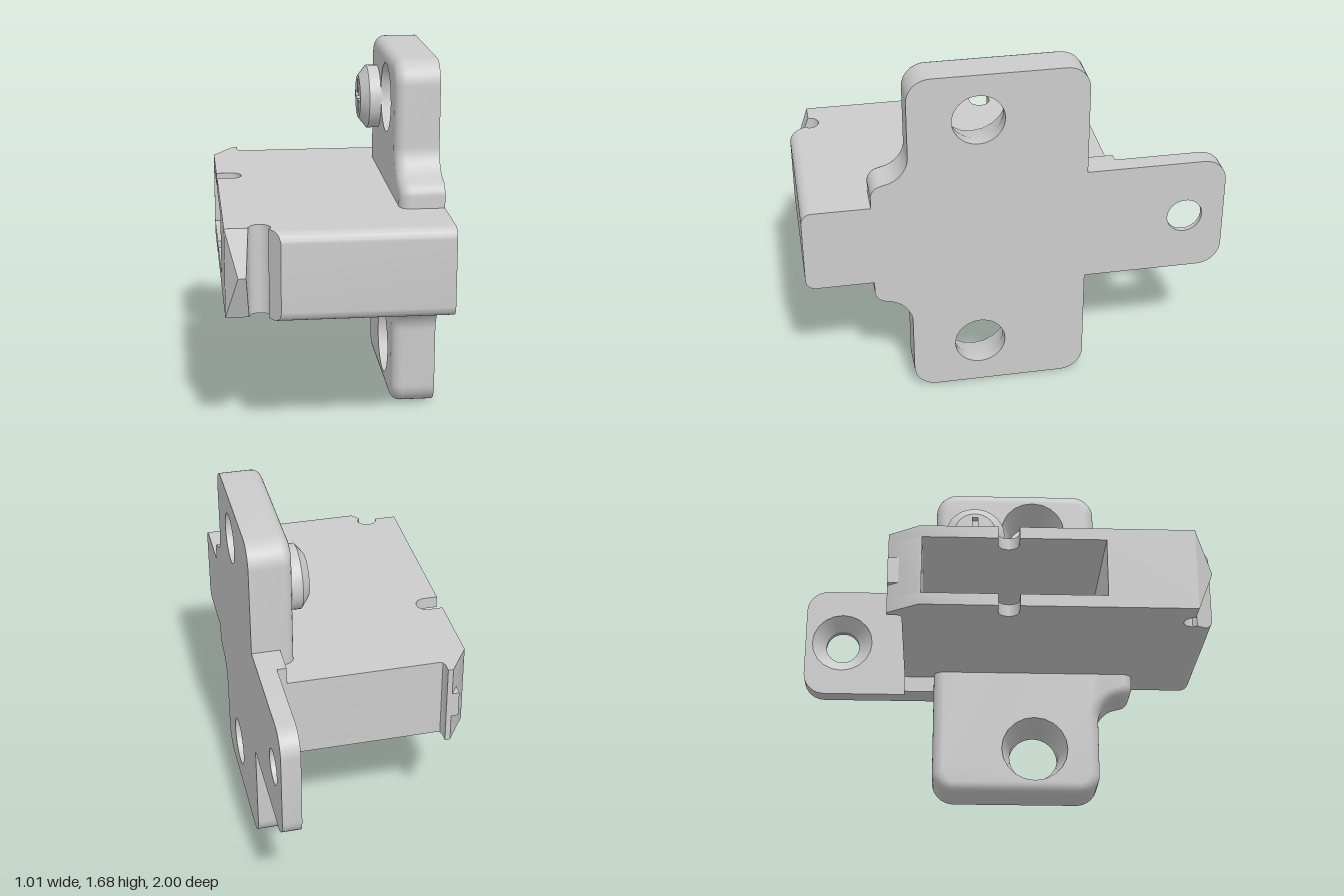
import * as THREE from 'three';
import { toCreasedNormals } from 'three/addons/utils/BufferGeometryUtils.js';
import { ConvexGeometry } from 'three/addons/geometries/ConvexGeometry.js';

const MID = 0.84;            // mid height of the housing
const OUT = 0.5;             // outer mounting face (x)
const mat = new THREE.MeshStandardMaterial({ color: 0xcccccc });
const matDouble = new THREE.MeshStandardMaterial({ color: 0xcccccc, side: THREE.DoubleSide });

// Closed shape from [a, b, cornerRadius] points
function roundedShape(pts) {
  const s = new THREE.Shape();
  const n = pts.length;
  pts.forEach(([x, y, r = 0], i) => {
    const c = new THREE.Vector2(x, y);
    const toward = (q) => new THREE.Vector2(q[0], q[1]).sub(c).normalize().multiplyScalar(r).add(c);
    const a = toward(pts[(i + n - 1) % n]);
    const b = toward(pts[(i + 1) % n]);
    if (i === 0) s.moveTo(a.x, a.y); else s.lineTo(a.x, a.y);
    if (r > 0) {
      const c1 = a.clone().lerp(c, 0.55), c2 = b.clone().lerp(c, 0.55);
      s.bezierCurveTo(c1.x, c1.y, c2.x, c2.y, b.x, b.y);
    }
  });
  s.closePath();
  return s;
}

function addHole(shape, a, b, r) {
  shape.holes.push(new THREE.Path().absarc(a, b, r, 0, Math.PI * 2, true));
  return shape;
}

// (z, y) shape extruded from x1 towards -x
function extrudeX(shape, x1, depth, opts = {}) {
  return new THREE.ExtrudeGeometry(shape, { depth, bevelEnabled: false, curveSegments: 10, ...opts })
    .rotateY(-Math.PI / 2).translate(x1, 0, 0);
}

// (x, z) outline extruded upwards from y0 to y1
function extrudeY(pts, y0, y1) {
  const shape = new THREE.Shape(pts.map(([x, z]) => new THREE.Vector2(x, -z)));
  return new THREE.ExtrudeGeometry(shape, { depth: y1 - y0, bevelEnabled: false })
    .rotateX(-Math.PI / 2).translate(0, y0, 0);
}

// [radius, x] profile turned about an x-parallel axis
function latheX(profile, y, z) {
  const pts = profile.map(([r, x]) => new THREE.Vector2(r, x));
  return new THREE.LatheGeometry(pts, 40).rotateZ(-Math.PI / 2).translate(0, y, z);
}

function arc(cx, cz, r, from, to, n = 10) {
  return Array.from({ length: n + 1 }, (_, i) => {
    const t = from + (to - from) * i / n;
    return [cx + r * Math.cos(t), cz + r * Math.sin(t)];
  });
}

export function createModel() {
  const group = new THREE.Group();
  const add = (name, geo, material = mat, crease = 0.6) => {
    const mesh = new THREE.Mesh(toCreasedNormals(geo, crease), material);
    mesh.name = name;
    group.add(mesh);
  };

  // Wing plate with a curved foot; one face has rounded edges
  const wing = () => roundedShape([
    [-0.33, 0, 0.11], [0.505, 0, 0.11], [0.505, 0.49, 0.1], [0.68, 0.535, 0.045],
    [0.68, 1.145, 0.045], [0.505, 1.19, 0.1], [0.505, 1.68, 0.11], [-0.33, 1.68, 0.11],
  ]);
  const holeYs = [0.23, 1.455], holeZ = 0.18, sinkR = 0.165, bevel = 0.05;
  const plate = wing(), rim = wing();
  for (const y of holeYs) {
    addHole(plate, holeZ, y, sinkR);
    addHole(rim, holeZ, y, sinkR - bevel);
  }
  add('wingPlate', extrudeX(plate, OUT, 0.155));
  const rimGeo = extrudeX(rim, 0.346, 0.001, {
    bevelEnabled: true, bevelSize: bevel, bevelOffset: -bevel, bevelThickness: bevel, bevelSegments: 6,
  });
  // keep the screw holes straight through the rounded layer
  const p = rimGeo.attributes.position;
  for (let i = 0; i < p.count; i++) {
    for (const y of holeYs) {
      const dy = p.getY(i) - y, dz = p.getZ(i) - holeZ, d = Math.hypot(dy, dz);
      if (d < 0.168) p.setXYZ(i, p.getX(i), y + dy * sinkR / d, holeZ + dz * sinkR / d);
    }
  }
  add('wingPlateRoundedFace', rimGeo);

  // Countersinks of the wing holes
  for (const y of holeYs) {
    add('wingCountersink', latheX([[sinkR, 0.3], [0.122, 0.44], [0.122, OUT], [sinkR, OUT]], y, holeZ), matDouble);
  }

  // Rear tab with countersunk hole and the rib joining it to the housing
  const tab = addHole(roundedShape([
    [-1, 0.555, 0.11], [-0.33, 0.555], [-0.33, 1.13], [-1, 1.13, 0.11],
  ]), -0.81, MID, 0.155);
  add('rearTab', extrudeX(tab, OUT, 0.09));
  add('tabCountersink', latheX([[0.155, 0.41], [0.085, 0.475], [0.085, OUT], [0.155, OUT]], MID, -0.81), matDouble);
  add('tabRib', new THREE.BoxGeometry(0.135, 0.575, 0.16).translate(0.4325, 0.8425, -0.4));

  // Housing: two slotted walls with a hollow layer between them
  const rear = [[OUT, -0.48], [-0.36, -0.48], [-0.378, -0.486], [-0.385, -0.505],
    [-0.385, -0.55], [-0.41, -0.55], [-0.51, -0.4]];
  const front = [[-0.51, 0.9], [-0.405, 0.9], ...arc(-0.355, 0.9, 0.05, Math.PI, Math.PI * 2),
    [-0.318, 0.92], [OUT, 0.92]];
  const slot = [[-0.51, -0.03], ...arc(-0.46, 0.02, 0.05, -Math.PI / 2, Math.PI / 2).map(([x, z]) => [x + 0.02, z]), [-0.51, 0.07]];
  const cavity = [[-0.51, -0.39], [0.3, -0.39], [0.3, 0.48], [-0.51, 0.48]];
  const y0 = 0.635, y1 = 1.045, wall = 0.06;
  add('housingBottom', extrudeY([...rear, ...slot, ...front], y0, y0 + wall));
  add('housingTop', extrudeY([...rear, ...slot, ...front], y1 - wall, y1));
  add('housingWalls', extrudeY([...rear, ...cavity, ...front], y0 + wall, y1 - wall));

  // Rounded front nose with a slanted end
  const nose = extrudeX(roundedShape([[0.92, y0], [1, y0, 0.05], [1, y1, 0.05], [0.92, y1]]), OUT, OUT + 0.27);
  const q = nose.attributes.position;
  for (let i = 0; i < q.count; i++) {
    if (q.getX(i) < 0) q.setX(i, q.getX(i) - (1 - q.getZ(i)) * 0.6);
  }
  add('housingNose', nose);

  // Wedge-shaped front hook
  const hook = [[-0.455, MID, 0.98], [-0.42, MID, 0.98]];
  for (const y of [y0, y1]) for (const x of [-0.51, -0.405]) hook.push([x, y, 0.9]);
  add('frontHook', new ConvexGeometry(hook.map((v) => new THREE.Vector3(...v))), mat, 0.1);

  // Small catch on the rear corner
  add('rearCatch', new THREE.BoxGeometry(0.06, 0.13, 0.1).translate(-0.415, MID, -0.5));

  // Screw head with a cross recess
  const sy = 1.395, sz = -0.128;
  add('screwHead', latheX([[0.105, 0.2], [0.155, 0.24], [0.155, 0.3]], sy, sz), matDouble);
  const face = new THREE.Shape().absarc(0, 0, 0.105, 0, Math.PI * 2);
  const L = 0.085, w = 0.015;
  face.holes.push(new THREE.Path([[L, w], [w, w], [w, L], [-w, L], [-w, w], [-L, w],
    [-L, -w], [-w, -w], [-w, -L], [w, -L], [w, -w], [L, -w]].map(([a, b]) => new THREE.Vector2(a, b))));
  add('screwFace', extrudeX(face, 0.24, 0.04, { curveSegments: 20 }).translate(0, sy, sz));
  add('screwRecessFloor', new THREE.CylinderGeometry(0.105, 0.105, 0.02, 40).rotateZ(Math.PI / 2).translate(0.25, sy, sz));

  return group;
}
